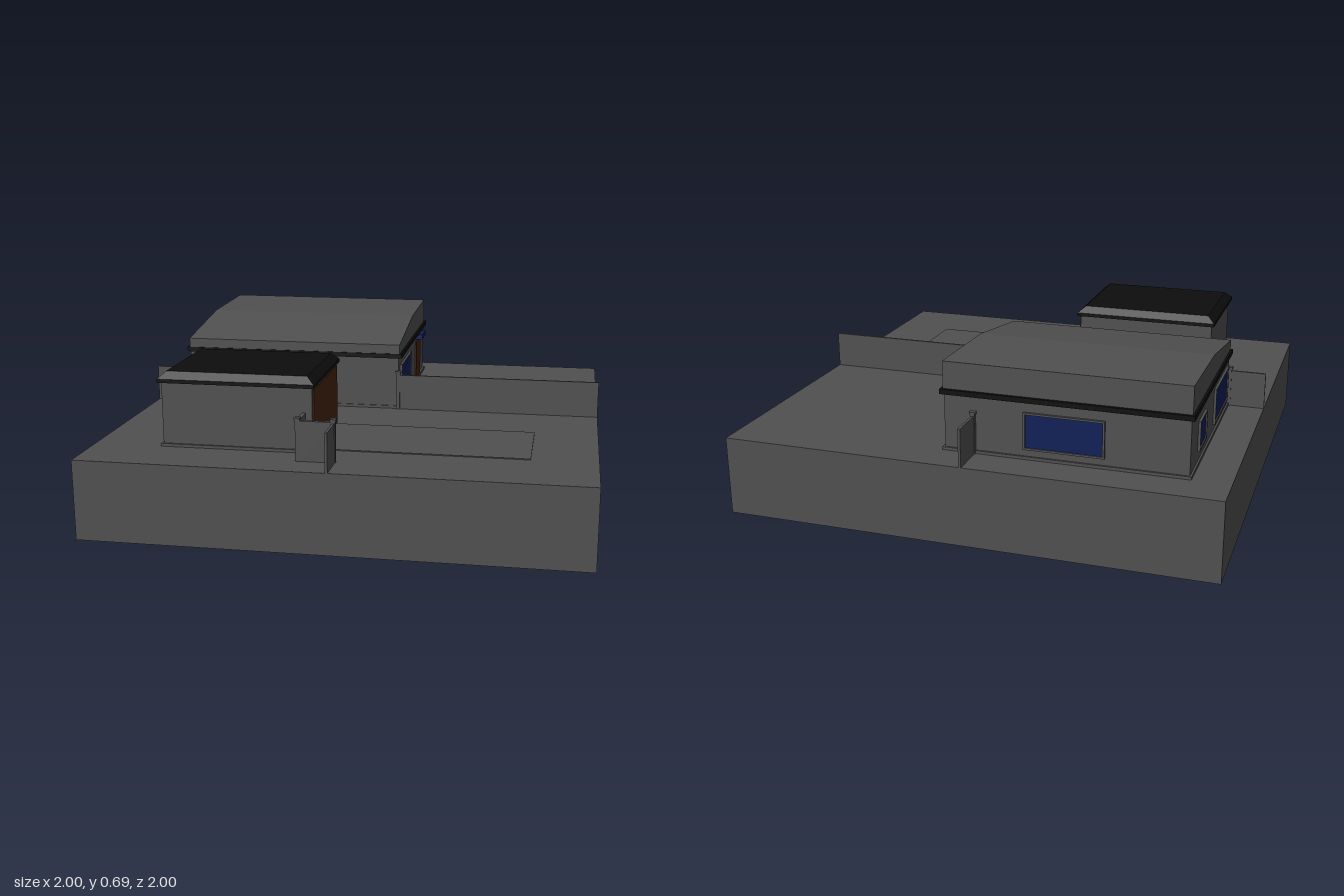
import * as THREE from 'three';

const material = (name, color) => {
  const m = new THREE.MeshStandardMaterial({ color });
  m.name = name;
  return m;
};

export function createModel() {
  const model = new THREE.Group();
  model.name = 'houseAndGarage';
  const grey = material('grey plaster', 0x505050);
  const black = material('black roofing', 0x0d0d0d);
  const brown = material('brown wood', 0x46230e);
  const blue = material('blue glass', 0x0e1f58);
  const G = 0.325; // ground level

  const add = (name, geometry, mat, parent = model) => {
    const mesh = new THREE.Mesh(geometry, mat);
    mesh.name = name;
    parent.add(mesh);
    return mesh;
  };
  // Box given by its lower and upper limits on each axis
  const box = (name, x0, x1, y0, y1, z0, z1, mat = grey, parent = model) => {
    const mesh = add(name, new THREE.BoxGeometry(x1 - x0, y1 - y0, z1 - z0), mat, parent);
    mesh.position.set((x0 + x1) / 2, (y0 + y1) / 2, (z0 + z1) / 2);
    return mesh;
  };
  // Framed pane, facing +z at the group's origin
  const framedPane = (name, w, h, x, y, z, turn, mat) => {
    const g = new THREE.Group();
    g.name = name;
    g.position.set(x, y, z);
    g.rotation.y = turn;
    const f = 0.008;
    for (const s of [-1, 1]) {
      const cx = s * (w / 2 - f / 2), cy = s * (h / 2 - f / 2);
      box('frameSide', cx - f / 2, cx + f / 2, -h / 2, h / 2, 0, 0.01, grey, g);
      box('frameRail', -w / 2 + f, w / 2 - f, cy - f / 2, cy + f / 2, 0, 0.01, grey, g);
    }
    box('pane', -w / 2 + f, w / 2 - f, -h / 2 + f, h / 2 - f, 0, 0.005, mat, g);
    model.add(g);
  };

  // Ground block and driveway
  box('ground', -1, 1, 0, G, -1, 1);
  box('driveway', -0.1, 0.74, G, G + 0.004, 0.31, 0.7);

  // House body
  box('housePlinth', -0.85, 0.13, G, G + 0.012, -0.85, 0);
  box('houseWalls', -0.842, 0.12, G, 0.56, -0.842, -0.005);
  box('houseTrim', -0.855, 0.135, 0.555, 0.575, -0.855, 0.004, black);

  // House roof with two slopes, drawn from the side and extruded along x
  const profile = new THREE.Shape([
    [0, 0.575], [0.842, 0.575], [0.842, 0.685], [0.42, 0.675], [0, 0.615],
  ].map(([a, y]) => new THREE.Vector2(a, y)));
  const roof = new THREE.ExtrudeGeometry(profile, { depth: 0.97, bevelEnabled: false });
  roof.rotateY(Math.PI / 2);
  add('houseRoof', roof, grey).position.x = -0.845;

  // Windows and door of the house
  framedPane('rightWindow', 0.31, 0.15, 0.12, 0.44, -0.21, Math.PI / 2, blue);
  framedPane('leftWindow', 0.31, 0.15, -0.842, 0.44, -0.21, -Math.PI / 2, blue);
  framedPane('smallWindow', 0.14, 0.12, -0.842, 0.44, -0.63, -Math.PI / 2, blue);
  framedPane('backWindow', 0.32, 0.15, -0.36, 0.44, -0.842, Math.PI, blue);
  box('houseDoor', 0.12, 0.126, G, 0.52, -0.71, -0.56, brown);
  box('doorCanopy', 0.12, 0.152, 0.53, 0.553, -0.695, -0.58, blue);

  // Garage body and door
  box('garagePlinth', -0.725, -0.105, G, G + 0.012, 0.272, 0.758);
  box('garageWalls', -0.715, -0.106, G, 0.587, 0.28, 0.75);
  box('garageDoor', -0.106, -0.1, G + 0.004, 0.577, 0.287, 0.743, brown);

  // Garage roof: eaves slab and a flat-topped hip
  box('garageEaves', -0.728, -0.095, 0.587, 0.602, 0.262, 0.768, black);
  const hip = new THREE.BoxGeometry(0.633, 0.028, 0.506).toNonIndexed();
  const p = hip.attributes.position;
  for (let i = 0; i < p.count; i++) {
    if (p.getY(i) > 0) {
      p.setX(i, p.getX(i) - Math.sign(p.getX(i)) * 0.032);
      p.setZ(i, p.getZ(i) - Math.sign(p.getZ(i)) * 0.03);
    }
  }
  hip.computeVertexNormals();
  add('garageHipRoof', hip, black).position.set(-0.4115, 0.616, 0.515);

  // Thin boundary fences
  box('fenceRight', 0.12, 1, G, 0.48, -0.005, 0.005);
  box('fenceLeft', -1, -0.842, G, 0.48, -0.005, 0.005);
  box('fenceBack', -0.005, 0.005, G, 0.48, -1, -0.842);
  box('fenceFront', -0.005, 0.005, G, 0.48, 0.86, 1);

  // Garden walls
  box('linkWall', -0.38, -0.35, G, 0.495, -0.005, 0.28);
  box('cornerWallSide', -0.148, -0.132, G, 0.485, 0.75, 0.868);
  box('cornerWallFront', -0.132, 0, G, 0.485, 0.852, 0.868);

  // Capped fence posts
  for (const [x, z] of [[0.12, 0], [-0.848, 0], [0, -0.85], [0, 0.86], [-0.14, 0.86]]) {
    box('fencePost', x - 0.008, x + 0.008, G, 0.487, z - 0.008, z + 0.008);
    box('postCap', x - 0.012, x + 0.012, 0.487, 0.497, z - 0.012, z + 0.012);
  }
  return model;
}
